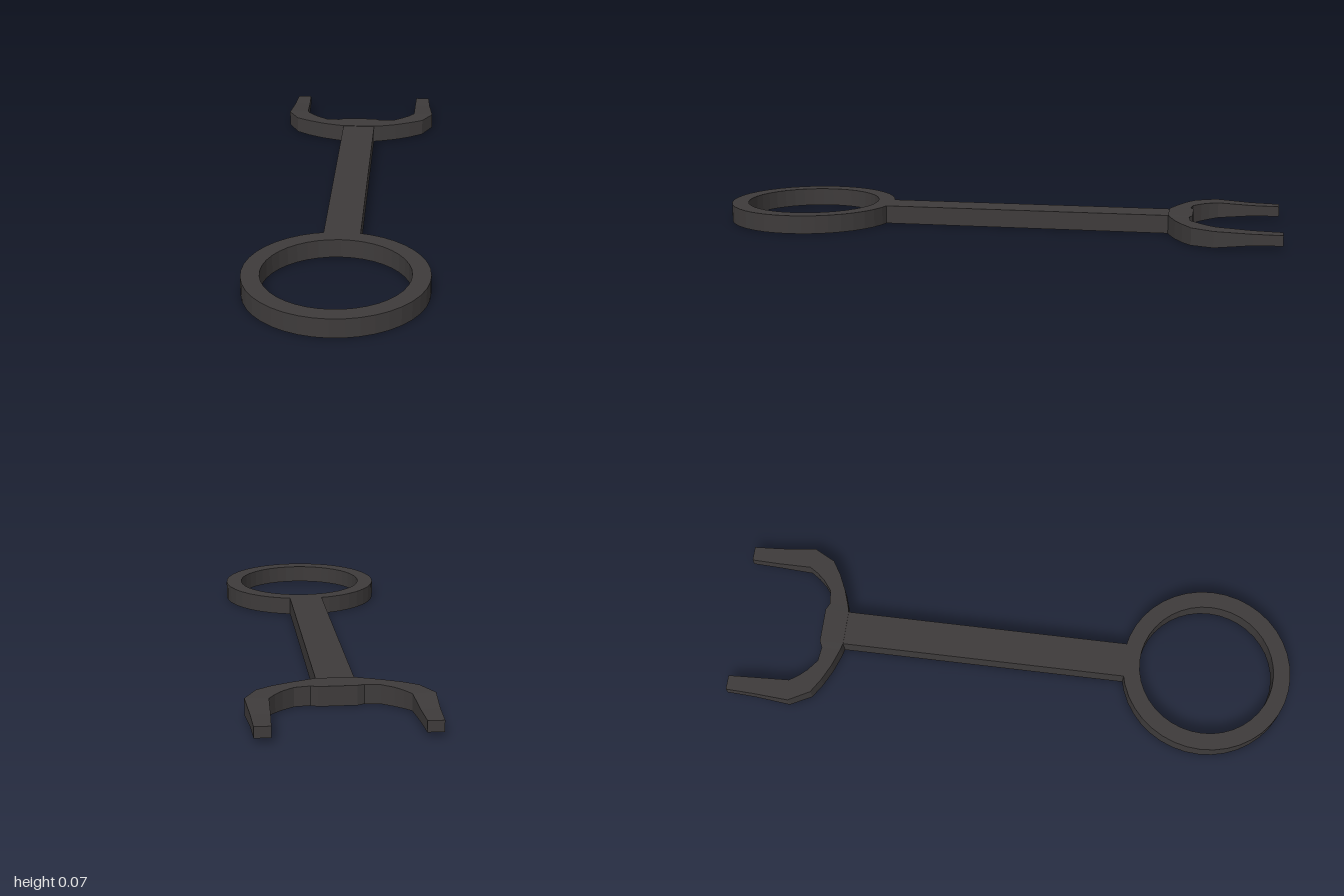
import * as THREE from 'three';

const THICKNESS = 0.064;
const steel = new THREE.MeshStandardMaterial({ color: 0x3e3b3b, flatShading: true });

function part(name, geometry) {
  const mesh = new THREE.Mesh(geometry, steel);
  mesh.name = name;
  return mesh;
}

// Closed ring at the front end
function ringGeometry() {
  const shape = new THREE.Shape().absarc(0, 0, 0.3, 0, Math.PI * 2, false);
  shape.holes.push(new THREE.Path().absarc(0, 0, 0.24, 0, Math.PI * 2, true));
  return new THREE.ExtrudeGeometry(shape, { depth: THICKNESS, bevelEnabled: false, curveSegments: 20 })
    .rotateX(-Math.PI / 2)
    .translate(0, 0, 0.7);
}

// Open jaw: rectangular sections swept from one tip round to the other
function jawGeometry() {
  // outer x, outer z, inner x, inner z, bottom y, top y
  const half = [
    [0.06, -0.61, 0.062, -0.695, 0, 0.066],
    [0.085, -0.616, 0.085, -0.684, 0, 0.065],
    [0.148, -0.638, 0.137, -0.69, 0, 0.064],
    [0.205, -0.665, 0.175, -0.72, 0.001, 0.064],
    [0.256, -0.697, 0.2, -0.748, 0.003, 0.063],
    [0.296, -0.772, 0.221, -0.78, 0.006, 0.062],
    [0.285, -0.9, 0.224, -0.9, 0.016, 0.055],
    [0.28, -1, 0.228, -1, 0.017, 0.053],
  ];
  const mirrored = half.map(([ox, oz, ix, iz, lo, hi]) => [-ox, oz, -ix, iz, lo, hi]).reverse();
  const sections = [...mirrored, ...half].map(([ox, oz, ix, iz, lo, hi]) => [
    [ox, lo, oz], [ox, hi, oz], [ix, hi, iz], [ix, lo, iz],
  ]);
  const positions = [];
  const quad = (a, b, c, d) => positions.push(...a, ...b, ...c, ...a, ...c, ...d);
  for (let i = 0; i < sections.length - 1; i++) {
    const s = sections[i], t = sections[i + 1];
    for (let k = 0; k < 4; k++) quad(s[k], t[k], t[(k + 1) % 4], s[(k + 1) % 4]);
  }
  quad(...sections[0]);
  quad(...[...sections[sections.length - 1]].reverse());
  const geometry = new THREE.BufferGeometry();
  geometry.setAttribute('position', new THREE.Float32BufferAttribute(positions, 3));
  geometry.computeVertexNormals();
  return geometry;
}

export function createModel() {
  const wrench = new THREE.Group();
  wrench.name = 'wrench';

  // Straight bar joining the two heads
  const handle = part('handle', new THREE.BoxGeometry(0.124, THICKNESS, 1.07));
  handle.position.set(0, THICKNESS / 2, -0.105);

  wrench.add(part('ring', ringGeometry()), handle, part('jaw', jawGeometry()));
  return wrench;
}
